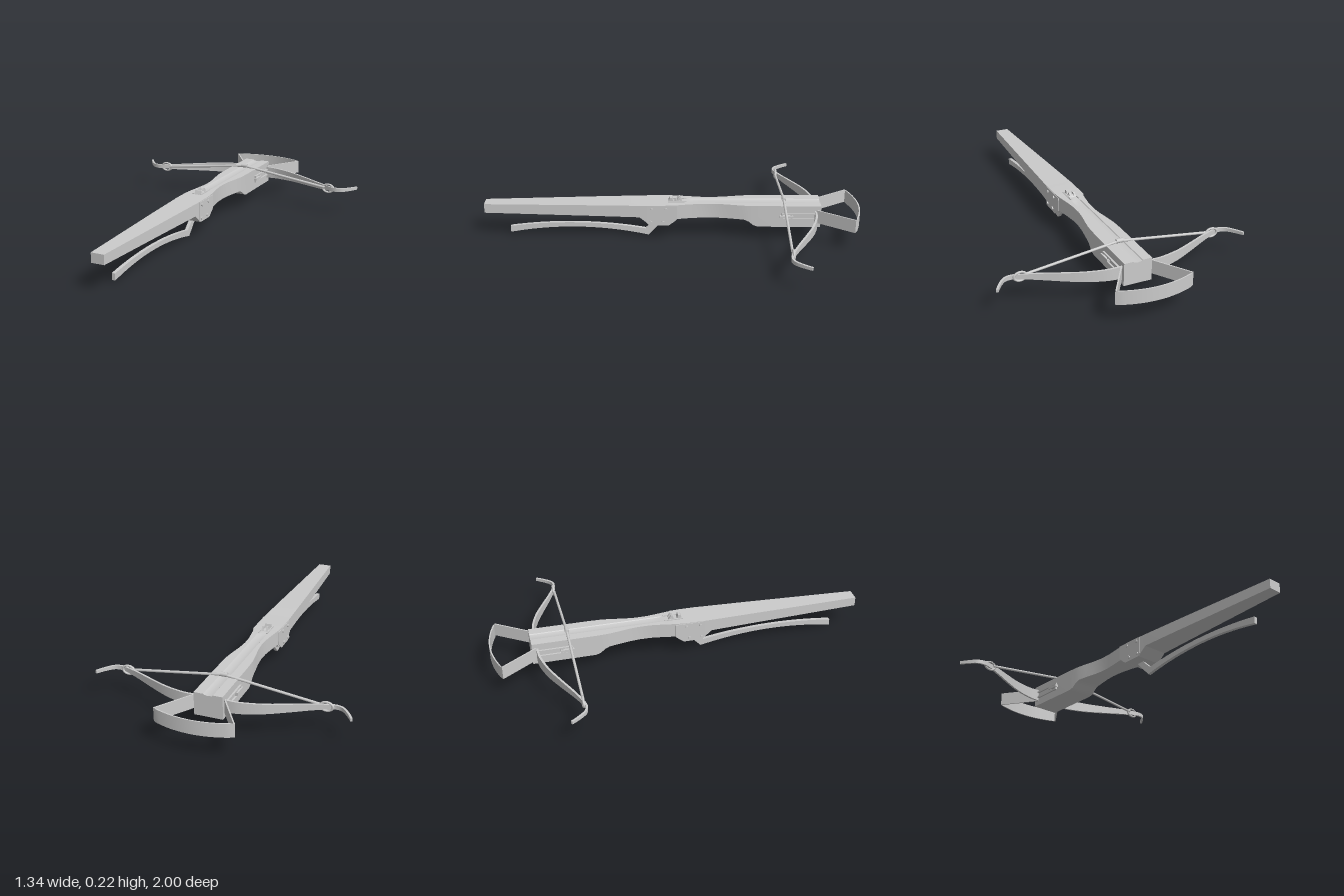
import * as THREE from 'three';
import { toCreasedNormals } from 'three/addons/utils/BufferGeometryUtils.js';

const mat = new THREE.MeshStandardMaterial({ color: 0xcccccc });
const V = (x, y, z) => new THREE.Vector3(x, y, z);

function add(parent, name, geo, x = 0, y = 0, z = 0) {
  const m = new THREE.Mesh(geo, mat);
  m.name = name;
  m.position.set(x, y, z);
  parent.add(m);
  return m;
}

// Skin a row of equal-length rings and close both ends
function loft(rings) {
  const pos = [], n = rings[0].length;
  const tri = (...p) => p.forEach(v => pos.push(v.x, v.y, v.z));
  const mid = r => r.reduce((s, p) => s.add(p), V(0, 0, 0)).divideScalar(n);
  const a = rings[0], e = rings[rings.length - 1], ca = mid(a), ce = mid(e);
  for (let j = 0; j < n; j++) {
    const k = (j + 1) % n;
    for (let i = 0; i < rings.length - 1; i++) {
      const p = rings[i], q = rings[i + 1];
      tri(p[j], p[k], q[k]);
      tri(p[j], q[k], q[j]);
    }
    tri(ca, a[k], a[j]);
    tri(ce, e[j], e[k]);
  }
  const g = new THREE.BufferGeometry();
  g.setAttribute('position', new THREE.Float32BufferAttribute(pos, 3));
  return toCreasedNormals(g, 0.5);
}

// Upright strip following a path of [x, z, halfHeight] points
function band(path, y, thick) {
  return loft(path.map(([x, z, h], i) => {
    const p = path[Math.max(i - 1, 0)], q = path[Math.min(i + 1, path.length - 1)];
    const t = new THREE.Vector2(q[0] - p[0], q[1] - p[1]).normalize();
    const nx = -t.y * thick / 2, nz = t.x * thick / 2;
    return [V(x - nx, y - h, z - nz), V(x - nx, y + h, z - nz), V(x + nx, y + h, z + nz), V(x + nx, y - h, z + nz)];
  }));
}

// Side outline drawn as (z, y), extruded across x
function sideProfile(shape, width) {
  const g = new THREE.ExtrudeGeometry(shape, { depth: width, bevelEnabled: false, curveSegments: 20 });
  g.translate(0, 0, -width / 2);
  g.rotateY(-Math.PI / 2);
  return toCreasedNormals(g, 0.5);
}
const polygon = pts => new THREE.Shape(pts.map(p => new THREE.Vector2(...p)));

export function createModel() {
  const model = new THREE.Group();
  model.name = 'crossbow';

  // Stock: [z, half width, bottom, top, groove depth]
  const stations = [
    [-0.79, 0.074, 0.08, 0.2, 0.008], [-0.46, 0.073, 0.08, 0.2, 0.008], [-0.435, 0.072, 0.088, 0.2, 0.008],
    [-0.41, 0.071, 0.108, 0.2, 0.008], [-0.385, 0.069, 0.119, 0.2, 0.008], [-0.34, 0.062, 0.12, 0.2, 0.008],
    [-0.28, 0.051, 0.12, 0.2, 0.008], [-0.22, 0.045, 0.12, 0.2, 0.008], [-0.16, 0.046, 0.12, 0.2, 0.008],
    [-0.1, 0.054, 0.12, 0.2, 0.008], [-0.08, 0.057, 0.12, 0.2, 0], [-0.03, 0.065, 0.119, 0.199, 0],
    [-0.01, 0.067, 0.1, 0.199, 0], [0.015, 0.07, 0.086, 0.199, 0], [0.12, 0.071, 0.086, 0.198, 0],
    [0.14, 0.07, 0.105, 0.197, 0], [0.17, 0.069, 0.13, 0.197, 0], [0.4, 0.06, 0.133, 0.195, 0],
    [1, 0.035, 0.138, 0.188, 0],
  ];
  add(model, 'stock', loft(stations.map(([z, w, b, t, d]) => [
    V(-w, b, z), V(w, b, z), V(w, t, z), V(0.025, t, z), V(0.022, t - d / 2, z),
    V(0, t - d, z), V(-0.022, t - d / 2, z), V(-0.025, t, z), V(-w, t, z),
  ])));

  // Lock plates with rivets
  const plate = polygon([[0.13, 0.195], [0.13, 0.1], [0.115, 0.085], [0.015, 0.085], [-0.03, 0.122], [-0.03, 0.195]]);
  for (const s of [-1, 1]) {
    add(model, 'lockPlate', sideProfile(plate, 0.004), s * 0.0715, 0, 0);
    for (const [z, y] of [[0.105, 0.177], [0.03, 0.177], [0.11, 0.105], [0.045, 0.105]]) {
      add(model, 'rivet', new THREE.CylinderGeometry(0.008, 0.008, 0.01, 12).rotateZ(Math.PI / 2), s * 0.075, y, z);
    }
  }

  // Nut with two string claws, set in a raised frame
  const nut = new THREE.Group();
  nut.name = 'nut';
  model.add(nut);
  for (const s of [-1, 1]) {
    add(nut, 'nutFrameSide', new THREE.BoxGeometry(0.006, 0.008, 0.1), s * 0.023, 0.2, -0.03);
    add(nut, 'nutClaw', sideProfile(polygon([[-0.058, 0.195], [-0.02, 0.195], [-0.036, 0.223], [-0.043, 0.223]]), 0.01), s * 0.012, 0, 0);
  }
  add(nut, 'nutRoller', new THREE.CylinderGeometry(0.024, 0.024, 0.04, 20).rotateZ(Math.PI / 2), 0, 0.185, -0.035);
  add(nut, 'rearSight', sideProfile(polygon([[0.02, 0.195], [-0.01, 0.195], [-0.002, 0.22], [0.008, 0.22]]), 0.03));

  // Trigger lever
  const lever = new THREE.Shape();
  lever.moveTo(0.035, 0.1);
  lever.lineTo(0.125, 0.005);
  lever.quadraticCurveTo(0.5, 0.09, 0.87, 0.018);
  lever.lineTo(0.87, 0.053);
  lever.quadraticCurveTo(0.5, 0.105, 0.14, 0.042);
  lever.lineTo(0.075, 0.1);
  lever.closePath();
  const leverGeo = sideProfile(lever, 0.018);
  leverGeo.computeBoundingBox();
  leverGeo.translate(0, -leverGeo.boundingBox.min.y, 0);
  add(model, 'triggerLever', leverGeo);

  // Recurved bow, one half sampled and mirrored
  const curve = new THREE.SplineCurve([
    [0, -0.762], [0.08, -0.762], [0.15, -0.757], [0.25, -0.728], [0.35, -0.682], [0.45, -0.632],
    [0.53, -0.598], [0.57, -0.59], [0.605, -0.602], [0.64, -0.642], [0.663, -0.677],
  ].map(p => new THREE.Vector2(...p)));
  const half = curve.getPoints(44).map(({ x, y }) => [x, y,
    x < 0.53 ? 0.034 - 0.022 * Math.pow(x / 0.53, 1.3) : 0.012 - 0.004 * (x - 0.53) / 0.13]);
  const mirror = half.slice(1).reverse().map(([x, z, h]) => [-x, z, h]);
  add(model, 'bow', band([...mirror, ...half], 0.141, 0.011));

  // Foot stirrup
  const arc = [];
  for (let i = 0; i <= 20; i++) {
    const u = i / 10 - 1;
    arc.push([0.2 * u, -0.997 + 0.042 * u * u, 0.036]);
  }
  add(model, 'stirrup', band([[-0.074, -0.765, 0.036], ...arc, [0.074, -0.765, 0.036]], 0.143, 0.007));

  // Bow-binding brackets on the fore end
  for (const s of [-1, 1]) {
    const b = new THREE.Group();
    b.name = 'bowBracket';
    model.add(b);
    for (const y of [0.126, 0.158]) add(b, 'bracketRail', new THREE.BoxGeometry(0.01, 0.008, 0.19), s * 0.078, y, -0.675);
    for (const z of [-0.585, -0.635, -0.765]) add(b, 'bracketPost', new THREE.BoxGeometry(0.01, 0.04, 0.01), s * 0.078, 0.142, z);
    add(b, 'wedge', new THREE.BoxGeometry(0.016, 0.014, 0.07), s * 0.081, 0.142, -0.608);
  }

  // Bowstring with end loops and centre serving
  const z = -0.597;
  for (const s of [-1, 1]) {
    const line = new THREE.LineCurve3(V(0, 0.21, z), V(s * 0.5, 0.144, z));
    add(model, 'bowstring', new THREE.TubeGeometry(line, 1, 0.007, 10));
    const loop = add(model, 'stringLoop', new THREE.TorusGeometry(0.023, 0.005, 8, 28), s * 0.52, 0.141, z - 0.003);
    loop.scale.set(1.35, 1, 1.3);
  }
  add(model, 'serving', new THREE.CylinderGeometry(0.011, 0.011, 0.036, 12).rotateZ(Math.PI / 2), 0, 0.211, z);
  return model;
}
